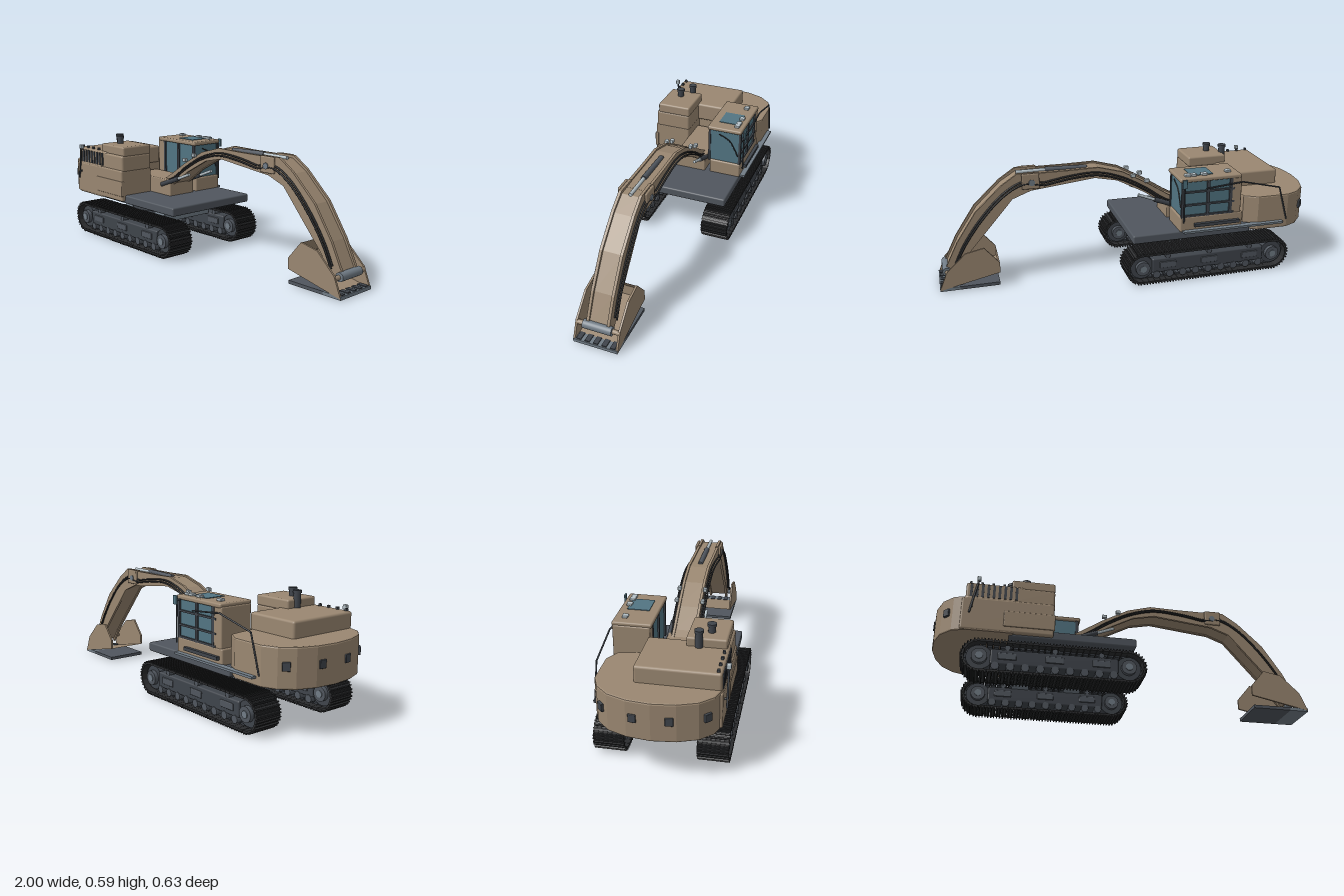
import * as THREE from 'three';
import { RoundedBoxGeometry } from 'three/addons/geometries/RoundedBoxGeometry.js';

const mat = (color, side = THREE.FrontSide) => new THREE.MeshStandardMaterial({ color, side });
const paint = mat(0x9a8771), dark = mat(0x3f444b), rubber = mat(0x2b2c2e), steel = mat(0x717c86),
  deckGrey = mat(0x50565e), glass = mat(0x527583), silver = mat(0xb4c0c6);

export function createModel() {
  const root = new THREE.Group();
  const add = (name, geo, m, parent = root) => {
    const mesh = new THREE.Mesh(geo, m);
    mesh.name = name;
    parent.add(mesh);
    return mesh;
  };
  // Box given by its extents on each axis
  const box = (name, m, x0, x1, y0, y1, z0, z1, r = 0, parent = root) => {
    const s = [x1 - x0, y1 - y0, z1 - z0];
    const mesh = add(name, r ? new RoundedBoxGeometry(...s, 2, r) : new THREE.BoxGeometry(...s), m, parent);
    mesh.position.set((x0 + x1) / 2, (y0 + y1) / 2, (z0 + z1) / 2);
    return mesh;
  };
  // Round bar between two points
  const rod = (name, m, a, b, r, parent = root, sides = 16) => {
    const p = new THREE.Vector3(...a), q = new THREE.Vector3(...b);
    const mesh = add(name, new THREE.CylinderGeometry(r, r, p.distanceTo(q), sides), m, parent);
    mesh.position.copy(p).add(q).multiplyScalar(0.5);
    mesh.quaternion.setFromUnitVectors(new THREE.Vector3(0, 1, 0), q.sub(p).normalize());
    return mesh;
  };
  const shapeOf = (pts) => new THREE.Shape(pts.map((p) => new THREE.Vector2(...p)));
  // Side profile (x, y) given thickness from z0 to z1
  const profile = (name, m, pts, z0, z1) =>
    add(name, new THREE.ExtrudeGeometry(shapeOf(pts), { depth: z1 - z0, bevelEnabled: false }).translate(0, 0, z0), m);
  // Plan outline (x, z) raised from y0 to y1 with a small bevel
  const plan = (name, m, pts, y0, y1, b = 0.008) => add(name, new THREE.ExtrudeGeometry(
    shapeOf(pts.map(([x, z]) => [x, -z])),
    { depth: y1 - y0 - 2 * b, bevelThickness: b, bevelSize: b, bevelOffset: -b, bevelSegments: 2 })
    .rotateX(-Math.PI / 2).translate(0, y0 + b, 0), m);
  const path = (name, m, pts, r) => {
    const curve = new THREE.CatmullRomCurve3(pts.map((p) => new THREE.Vector3(...p)), false, 'centripetal');
    return add(name, new THREE.TubeGeometry(curve, 40, r, 6), m);
  };

  // Crawler tracks
  const xRear = -0.752, xFront = -0.023, yMid = 0.09, len = xFront - xRear, rad = 0.078;
  const loop = 2 * len + 2 * Math.PI * rad, pads = 62;
  const onLoop = (d) => {
    if (d < len) return [xRear + d, yMid + rad, 0];
    d -= len;
    if (d < Math.PI * rad) {
      const a = d / rad;
      return [xFront + Math.sin(a) * rad, yMid + Math.cos(a) * rad, -a];
    }
    d -= Math.PI * rad;
    if (d < len) return [xFront - d, yMid - rad, Math.PI];
    const a = (d - len) / rad;
    return [xRear - Math.sin(a) * rad, yMid - Math.cos(a) * rad, Math.PI - a];
  };
  for (const s of [1, -1]) {
    const track = new THREE.Group();
    track.name = s > 0 ? 'leftTrack' : 'rightTrack';
    track.position.z = s * 0.242;
    root.add(track);
    for (let i = 0; i < pads; i++) {
      const [x, y, a] = onLoop((i + 0.5) * loop / pads);
      const pad = new THREE.Group();
      pad.name = 'trackPad';
      pad.position.set(x, y, 0);
      pad.rotation.z = a;
      track.add(pad);
      box('padPlate', rubber, -0.015, 0.015, -0.006, 0.004, -0.073, 0.073, 0, pad);
      for (const gx of [-0.012, 0.003]) box('grouser', rubber, gx, gx + 0.006, 0.003, 0.012, -0.073, 0.073, 0, pad);
      box('chainLink', dark, -0.012, 0.012, -0.015, -0.005, -0.03, 0.03, 0, pad);
    }
    box('trackFrame', dark, -0.7, -0.075, 0.055, 0.135, -0.056, 0.056, 0.008, track);
    for (const x of [xRear, xFront]) {
      rod('trackWheel', dark, [x, yMid, -0.045], [x, yMid, 0.045], 0.063, track, 28);
      rod('wheelHub', deckGrey, [x, yMid, -0.066], [x, yMid, 0.066], 0.038, track, 20);
      rod('hubCap', steel, [x, yMid, -0.07], [x, yMid, 0.07], 0.018, track);
    }
    for (let i = 0; i < 9; i++) {
      const x = -0.675 + i * 0.072;
      rod('trackRoller', deckGrey, [x, 0.045, -0.06], [x, 0.045, 0.06], 0.02, track);
    }
    for (const x of [-0.62, -0.39, -0.16]) {
      rod('topRoller', deckGrey, [x, 0.145, -0.055], [x, 0.145, 0.055], 0.014, track);
      box('framePanel', deckGrey, x - 0.045, x + 0.045, 0.08, 0.115, -0.061, 0.061, 0.004, track);
    }
  }

  // Undercarriage and slew ring
  box('carBody', dark, -0.55, -0.23, 0.12, 0.19, -0.1, 0.1, 0.01);
  for (const x of [-0.53, -0.25]) box('crossBeam', steel, x - 0.045, x + 0.045, 0.13, 0.172, -0.19, 0.19);
  rod('slewRing', dark, [-0.39, 0.18, 0], [-0.39, 0.21, 0], 0.182, root, 40);
  rod('slewBearing', deckGrey, [-0.39, 0.21, 0], [-0.39, 0.228, 0], 0.15, root, 40);

  // Deck, counterweight and engine housing
  box('deck', deckGrey, -0.62, 0.025, 0.224, 0.27, -0.285, 0.265, 0.008);
  plan('counterweight', paint, [[-0.6, 0.285], [-0.83, 0.285], [-0.9, 0.26], [-0.955, 0.2], [-0.988, 0.11], [-1, 0],
    [-0.988, -0.11], [-0.955, -0.2], [-0.9, -0.26], [-0.83, -0.29], [-0.66, -0.29], [-0.59, -0.25], [-0.57, -0.1]], 0.23, 0.42);
  for (const [x, z, a] of [[-0.99, 0.08, 0.12], [-0.99, -0.08, -0.12], [-0.928, 0.235, 0.8], [-0.928, -0.235, -0.8]])
    box('rearPocket', dark, x - 0.008, x + 0.008, 0.315, 0.355, z - 0.018, z + 0.018, 0.003).rotation.y = a;
  box('engineHousing', paint, -0.86, -0.4, 0.235, 0.412, 0.08, 0.287, 0.01);
  box('engineHood', paint, -0.845, -0.56, 0.4, 0.5, -0.11, 0.28, 0.012);
  box('hoodFront', paint, -0.62, -0.4, 0.4, 0.494, 0.08, 0.28, 0.012);
  box('raisedCover', paint, -0.62, -0.4, 0.488, 0.543, 0.08, 0.27, 0.01);
  box('sidePanel', paint, -0.65, -0.395, 0.265, 0.35, 0.27, 0.292, 0.005);
  for (let i = 0; i < 9; i++) {
    const x = -0.825 + i * 0.028;
    box('louvre', dark, x, x + 0.013, 0.418, 0.49, 0.27, 0.285);
  }
  for (let i = 0; i < 5; i++) box('hoodLatch', dark, -0.83 + i * 0.055, -0.818 + i * 0.055, 0.495, 0.512, 0.255, 0.268);
  for (const [x, z] of [[-0.62, 0.14], [-0.545, 0.187]]) {
    rod('exhaust', dark, [x, 0.49, z], [x, 0.575, z], 0.018);
    rod('exhaustCap', dark, [x, 0.572, z], [x, 0.586, z], 0.022);
  }
  box('boomMount', paint, -0.56, -0.22, 0.265, 0.36, -0.085, 0.085, 0.006);

  // Cab
  box('cabBase', paint, -0.57, -0.225, 0.265, 0.347, -0.287, -0.112, 0.008);
  box('cabGlass', glass, -0.53, -0.235, 0.34, 0.538, -0.278, -0.108);
  box('cabRoof', paint, -0.555, -0.22, 0.534, 0.556, -0.288, -0.095, 0.008);
  box('roofWindow', glass, -0.41, -0.29, 0.55, 0.559, -0.25, -0.14);
  box('cabRear', paint, -0.56, -0.5, 0.34, 0.54, -0.284, -0.102, 0.006);
  for (const x of [-0.5, -0.375, -0.238]) for (const z of [-0.28, -0.106])
    box('cabPillar', dark, x - 0.008, x + 0.008, 0.34, 0.538, z - 0.006, z + 0.006);
  for (const y of [0.35, 0.41, 0.48]) box('cabRail', dark, -0.52, -0.24, y - 0.005, y + 0.005, -0.287, -0.276);
  path('wiper', rubber, [[-0.23, 0.515, -0.16], [-0.23, 0.482, -0.222], [-0.23, 0.395, -0.273]], 0.003);
  for (const [x, z] of [[-0.495, -0.235], [-0.27, -0.25], [-0.3, -0.25], [-0.36, -0.25]])
    box('roofLight', silver, x - 0.016, x + 0.016, 0.556, 0.569, z - 0.014, z + 0.014, 0.004);
  box('cabMirror', glass, -0.25, -0.225, 0.51, 0.556, -0.311, -0.301, 0.003);
  rod('mirrorPost', dark, [-0.24, 0.32, -0.3], [-0.24, 0.53, -0.3], 0.004);
  rod('mirrorArm', dark, [-0.24, 0.53, -0.3], [-0.26, 0.54, -0.28], 0.004);

  // Walkway, handrails and mirror
  box('walkway', steel, -0.8, -0.24, 0.264, 0.275, -0.314, -0.28);
  box('stepBox', dark, -0.55, -0.3, 0.293, 0.31, -0.305, -0.285);
  const rail = [[-0.36, 0.497], [-0.56, 0.515], [-0.77, 0.465], [-0.825, 0.28]];
  for (let i = 0; i < 3; i++) rod('handrail', dark, [...rail[i], -0.296], [...rail[i + 1], -0.296], 0.004);
  rod('sidePost', dark, [-0.82, 0.32, 0.3], [-0.785, 0.505, 0.3], 0.005);
  rod('postBracket', dark, [-0.81, 0.36, 0.3], [-0.81, 0.36, 0.27], 0.005);
  box('sideMirror', silver, -0.795, -0.775, 0.497, 0.521, 0.289, 0.311, 0.004);

  // Boom: box core with raised side plates
  profile('boomCore', paint, [[-0.34, 0.33], [-0.25, 0.32], [-0.1, 0.425], [0.05, 0.505], [0.17, 0.53], [0.5, 0.495],
    [0.51, 0.57], [0.3, 0.57], [0.15, 0.572], [0.02, 0.535], [-0.12, 0.457], [-0.24, 0.38]], -0.05, 0.05);
  for (const s of [-0.054, 0.054]) profile('boomSide', paint, [[-0.36, 0.32], [-0.25, 0.315], [-0.1, 0.42], [0.05, 0.5],
    [0.17, 0.525], [0.5, 0.488], [0.515, 0.577], [0.3, 0.577], [0.15, 0.58], [0.02, 0.544], [-0.12, 0.467], [-0.24, 0.39]],
    s - 0.007, s + 0.007);

  // Stick with raised side plates
  profile('stickCore', paint, [[0.5, 0.495], [0.6, 0.455], [0.735, 0.305], [0.84, 0.185], [0.92, 0.08],
    [0.955, 0.1], [0.885, 0.235], [0.78, 0.39], [0.65, 0.515], [0.565, 0.568], [0.48, 0.57]], -0.046, 0.046);
  for (const s of [-0.052, 0.052]) profile('stickSide', paint, [[0.47, 0.5], [0.6, 0.45], [0.73, 0.3], [0.835, 0.18],
    [0.92, 0.06], [0.965, 0.1], [0.895, 0.24], [0.79, 0.398], [0.655, 0.525], [0.57, 0.582], [0.46, 0.582]], s - 0.007, s + 0.007);
  for (const s of [-1, 1]) {
    box('elbowPlate', paint, 0.46, 0.55, 0.5, 0.582, s * 0.068 - 0.007, s * 0.068 + 0.007, 0.006);
    rod('elbowPin', steel, [0.5, 0.535, s * 0.05], [0.5, 0.535, s * 0.08], 0.016);
    box('stickLug', paint, 0.87, 0.91, 0.14, 0.185, s * 0.05 - 0.009, s * 0.05 + 0.009, 0.004);
    // Hydraulic hoses
    for (const [z, dy] of [[0.067, 0], [0.076, -0.012]]) {
      path('boomHose', rubber, [[-0.34, 0.34], [-0.23, 0.365], [-0.1, 0.45], [0.03, 0.52], [0.16, 0.556], [0.3, 0.55], [0.44, 0.527]]
        .map(([x, y]) => [x, y + dy, s * z]), 0.005);
      path('stickHose', rubber, [[0.44, 0.527], [0.54, 0.54], [0.64, 0.49], [0.76, 0.37], [0.86, 0.23], [0.91, 0.13]]
        .map(([x, y]) => [x, y + dy, s * (z - 0.004)]), 0.005);
    }
    // Boom lifting cylinders and work lights
    rod('boomCylinder', dark, [-0.3, 0.325, s * 0.08], [-0.15, 0.38, s * 0.08], 0.013);
    rod('boomRam', silver, [-0.15, 0.38, s * 0.08], [-0.06, 0.415, s * 0.08], 0.008);
    for (const [x, y] of [[-0.11, 0.487], [-0.035, 0.522]])
      box('boomLight', silver, x - 0.013, x + 0.013, y - 0.01, y + 0.01, s * 0.068 - 0.01, s * 0.068 + 0.01, 0.004);
  }
  rod('stickCylinder', deckGrey, [0.2, 0.568, 0], [0.42, 0.574, 0], 0.014);
  rod('stickRam', silver, [0.42, 0.574, 0], [0.57, 0.574, 0], 0.009);

  // Bucket: cheeks, one-sided outer shell, base plate and pivot
  for (const s of [-0.108, 0.108]) profile('bucketCheek', paint,
    [[0.69, 0.075], [1, 0.008], [0.96, 0.105], [0.86, 0.2], [0.765, 0.22], [0.69, 0.13]], s - 0.005, s + 0.005);
  const shell = [[1, 0.01], [0.69, 0.075], [0.69, 0.13], [0.765, 0.218]], pos = [];
  for (let i = 0; i < 3; i++) {
    const [a, b] = [shell[i], shell[i + 1]], w = 0.105;
    pos.push(...a, -w, ...b, w, ...a, w, ...a, -w, ...b, -w, ...b, w);
  }
  const shellGeo = new THREE.BufferGeometry();
  shellGeo.setAttribute('position', new THREE.Float32BufferAttribute(pos, 3));
  shellGeo.computeVertexNormals();
  add('bucketShell', shellGeo, paint);
  box('bucketBase', deckGrey, 0.695, 0.9, 0.003, 0.02, -0.112, 0.112);
  box('bucketLip', steel, 0.9, 1, 0.003, 0.02, -0.112, 0.112);
  for (let i = -2; i <= 2; i++) box('lipTooth', dark, 0.95, 0.995, 0.018, 0.025, i * 0.043 - 0.012, i * 0.043 + 0.012);
  rod('bucketAxle', paint, [0.955, 0.09, -0.108], [0.955, 0.09, 0.108], 0.012);
  rod('bucketPivot', steel, [0.958, 0.092, -0.073], [0.958, 0.092, 0.073], 0.022, root, 24);
  return root;
}
